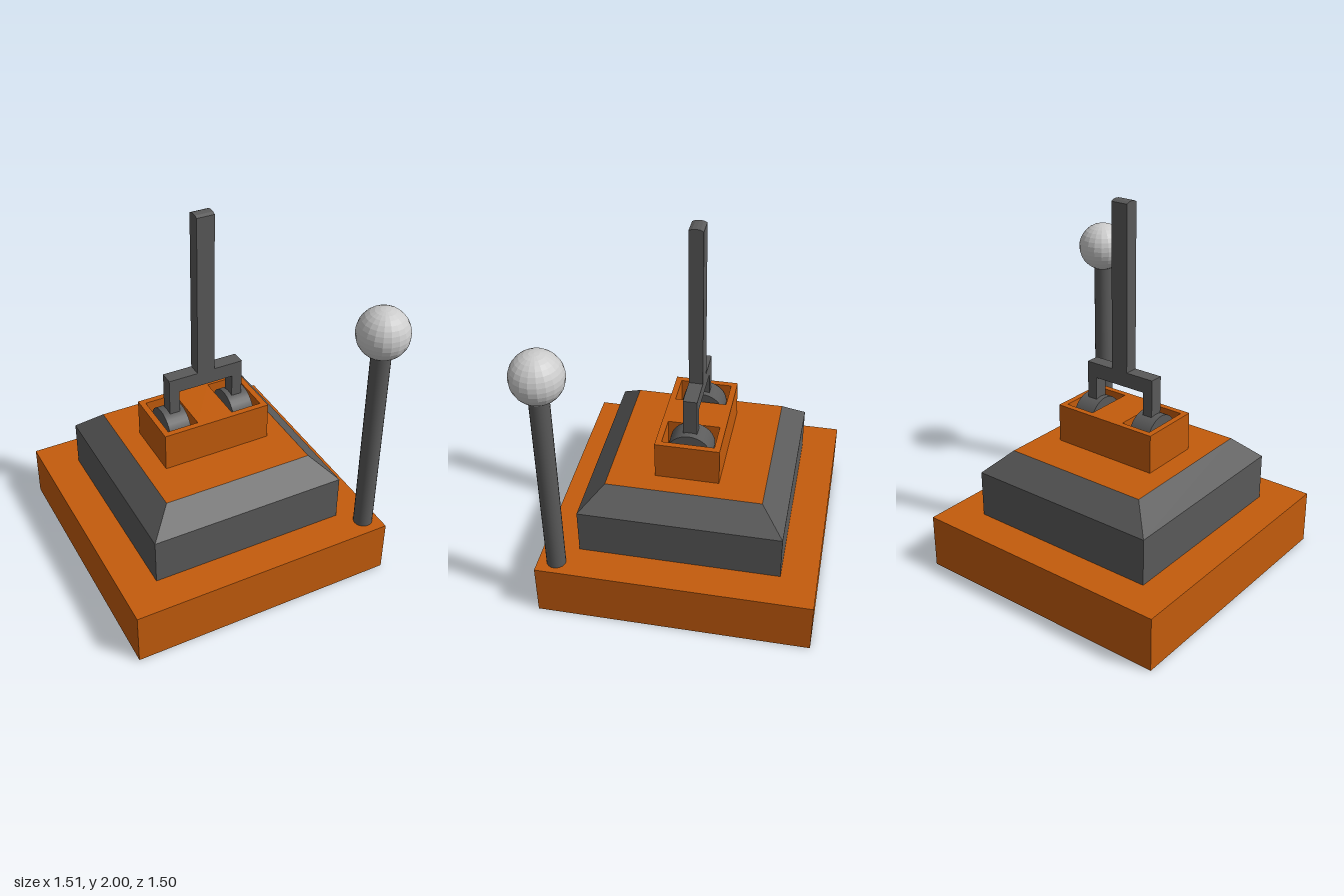
import * as THREE from 'three';

const CX = -0.03, CZ = -0.02; // shared centre of the stacked housing

export function createModel() {
  const root = new THREE.Group();
  const orange = new THREE.MeshStandardMaterial({ color: 0xc45c0c, flatShading: true });
  const dark = new THREE.MeshStandardMaterial({ color: 0x5a5a5a, flatShading: true });
  const darkSmooth = new THREE.MeshStandardMaterial({ color: 0x5a5a5a });
  const grey = new THREE.MeshStandardMaterial({ color: 0xcccccc, flatShading: true });

  const add = (name, geometry, material, x = 0, y = 0, z = 0, parent = root) => {
    const mesh = new THREE.Mesh(geometry, material);
    mesh.name = name;
    mesh.position.set(x, y, z);
    parent.add(mesh);
    return mesh;
  };
  const box = (name, w, h, d, material, x, bottom, z, parent) =>
    add(name, new THREE.BoxGeometry(w, h, d), material, x, bottom + h / 2, z, parent);

  // Square base slab
  box('base', 1.46, 0.295, 1.46, orange, CX, 0, CZ);

  // Middle tier with sloping shoulders and an orange deck
  box('tierBody', 1.075, 0.255, 1.075, dark, CX, 0.295, CZ);
  const slope = new THREE.CylinderGeometry(0.4125 * Math.SQRT2, 0.5375 * Math.SQRT2, 0.12, 4, 1, true);
  slope.rotateY(Math.PI / 4);
  add('tierShoulder', slope, dark, CX, 0.61, CZ);
  const deck = new THREE.PlaneGeometry(0.825, 0.825).rotateX(-Math.PI / 2);
  add('tierDeck', deck, orange, CX, 0.67, CZ);

  // Console block with two slots cut down through it
  const rect = (path, w, h, cx = 0) => {
    path.moveTo(cx - w / 2, -h / 2);
    path.lineTo(cx + w / 2, -h / 2);
    path.lineTo(cx + w / 2, h / 2);
    path.lineTo(cx - w / 2, h / 2);
    path.closePath();
    return path;
  };
  const outline = rect(new THREE.Shape(), 0.6, 0.34);
  for (const s of [-1, 1]) outline.holes.push(rect(new THREE.Path(), 0.17, 0.276, s * 0.184));
  const block = new THREE.ExtrudeGeometry(outline, { depth: 0.21, bevelEnabled: false });
  block.rotateX(-Math.PI / 2);
  add('consoleBlock', block, orange, CX, 0.67, CZ);

  // Forked lever: pivot drums, posts, crossbar and handle
  const lever = new THREE.Group();
  lever.name = 'lever';
  lever.position.set(CX, 0, CZ);
  root.add(lever);
  for (const s of [-1, 1]) {
    const drum = new THREE.CylinderGeometry(0.118, 0.118, 0.12, 32).rotateZ(Math.PI / 2);
    add('pivotDrum', drum, darkSmooth, s * 0.184, 0.793, 0, lever);
    box('leverPost', 0.057, 0.15, 0.074, dark, s * 0.181, 0.88, 0, lever);
  }
  box('leverCrossbar', 0.419, 0.08, 0.074, dark, 0, 1.03, 0, lever);

  // Handle with a slightly crowned top
  const side = new THREE.Shape([
    [-0.037, 1.11], [0.037, 1.11], [0.037, 1.99], [0.02, 1.998],
    [0, 2], [-0.02, 1.998], [-0.037, 1.99],
  ].map(([a, b]) => new THREE.Vector2(a, b)));
  const handle = new THREE.ExtrudeGeometry(side, { depth: 0.096, bevelEnabled: false });
  handle.translate(0, 0, -0.048).rotateY(Math.PI / 2);
  add('leverHandle', handle, dark, 0, 0, 0, lever);

  // Ball-topped stick on the front left corner
  add('stickShaft', new THREE.CylinderGeometry(0.051, 0.051, 1.1, 20), darkSmooth, 0.616, 0.845, 0.613);
  add('stickBall', new THREE.SphereGeometry(0.135, 20, 16), grey, 0.616, 1.495, 0.611);

  return root;
}
